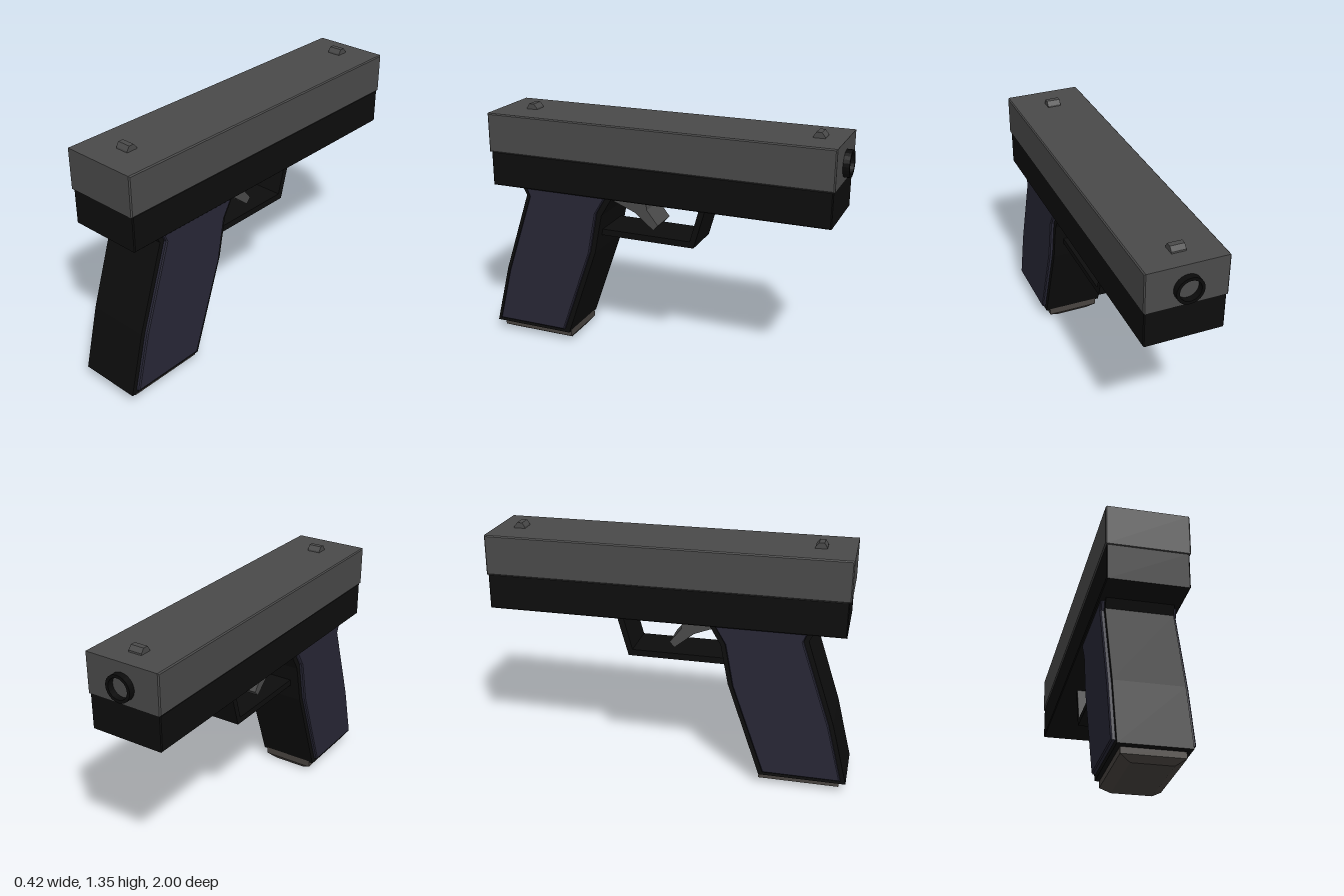
import * as THREE from 'three';

const material = (color, side = THREE.FrontSide) =>
  new THREE.MeshStandardMaterial({ color, flatShading: true, side });

const slideGrey = material(0x4a4a4a);
const frameBlack = material(0x0d0d0d);
const panelBlue = material(0x282736);
const baseGrey = material(0x48433f);
const barrelBlack = material(0x0b0b0b);

// Extrudes a side outline of [z, y] points across x, centred on x = 0
function sidePlate(name, points, width, mat, bevel = 0) {
  const shape = new THREE.Shape(points.map(([z, y]) => new THREE.Vector2(z, y)));
  const depth = width - 2 * bevel;
  const geometry = new THREE.ExtrudeGeometry(shape, {
    depth,
    bevelEnabled: bevel > 0,
    bevelSize: bevel,
    bevelThickness: bevel,
    bevelOffset: -bevel,
    bevelSegments: 1,
  });
  geometry.translate(0, 0, -depth / 2);
  geometry.rotateY(-Math.PI / 2);
  const mesh = new THREE.Mesh(geometry, mat);
  mesh.name = name;
  return mesh;
}

const rectangle = (z0, z1, y0, y1) => [[z0, y0], [z1, y0], [z1, y1], [z0, y1]];

export function createModel() {
  const model = new THREE.Group();
  model.name = 'pistol';

  // Upper slide and lower frame
  model.add(sidePlate('slide', rectangle(-0.967, 0.96, 1.107, 1.324), 0.424, slideGrey, 0.006));
  model.add(sidePlate('frame', rectangle(-0.96, 0.95, 0.917, 1.11), 0.412, frameBlack, 0.005));

  // Sights: small blocks with sloped ends
  for (const [name, z] of [['frontSight', -0.834], ['rearSight', 0.782]]) {
    const outline = [[-0.033, 1.318], [0.031, 1.318], [0.029, 1.332], [0.015, 1.354], [-0.013, 1.354], [-0.031, 1.332]];
    model.add(sidePlate(name, outline.map(([dz, y]) => [z + dz, y]), 0.074, slideGrey));
  }

  // Muzzle ring with a shallow bore
  const muzzle = new THREE.Mesh(
    new THREE.LatheGeometry(
      [[0, 0.01], [0.055, 0.01], [0.055, 0.045], [0.071, 0.045], [0.071, 0]]
        .map(([r, h]) => new THREE.Vector2(r, h)), 24),
    material(0x0b0b0b, THREE.DoubleSide));
  muzzle.name = 'muzzle';
  muzzle.rotation.x = -Math.PI / 2;
  muzzle.position.set(0, 1.202, -0.955);
  model.add(muzzle);

  // Slanted grip
  model.add(sidePlate('grip', [
    [1.0, 0.062], [0.528, 0.062], [0.346, 0.587], [0.303, 0.807],
    [0.233, 0.925], [0.787, 0.925], [0.76, 0.87], [0.914, 0.405],
  ], 0.344, frameBlack));

  // Grip panels on both sides
  for (const [name, side] of [['leftGripPanel', 1], ['rightGripPanel', -1]]) {
    const panel = sidePlate(name, [
      [0.97, 0.087], [0.55, 0.087], [0.373, 0.587], [0.329, 0.82],
      [0.268, 0.925], [0.755, 0.925], [0.733, 0.87], [0.89, 0.405],
    ], 0.05, panelBlue, 0.006);
    panel.position.x = side * 0.167;
    model.add(panel);
  }

  // Magazine base: straight upper band and tapered foot
  const baseGeometry = new THREE.BoxGeometry(0.3, 0.07, 0.437, 1, 2, 1);
  const p = baseGeometry.attributes.position;
  for (let i = 0; i < p.count; i++) {
    const y = p.getY(i);
    if (y < -0.01) p.setXYZ(i, Math.sign(p.getX(i)) * 0.1, -0.035, Math.sign(p.getZ(i)) * 0.195);
    else if (y < 0.01) p.setY(i, -0.005);
  }
  const base = new THREE.Mesh(baseGeometry, baseGrey);
  base.name = 'magazineBase';
  base.position.set(0, 0.035, 0.744);
  model.add(base);

  // Trigger guard loop
  model.add(sidePlate('triggerGuard', [
    [0.345, 0.677], [-0.212, 0.677], [-0.282, 0.925], [-0.248, 0.925],
    [-0.19, 0.712], [0.335, 0.712],
  ], 0.24, frameBlack));

  // Trigger
  model.add(sidePlate('trigger', [
    [0.27, 0.87], [0.142, 0.82], [0.035, 0.732], [0.008, 0.762],
    [0.072, 0.843], [0.083, 0.925], [0.25, 0.925],
  ], 0.17, slideGrey));

  return model;
}
